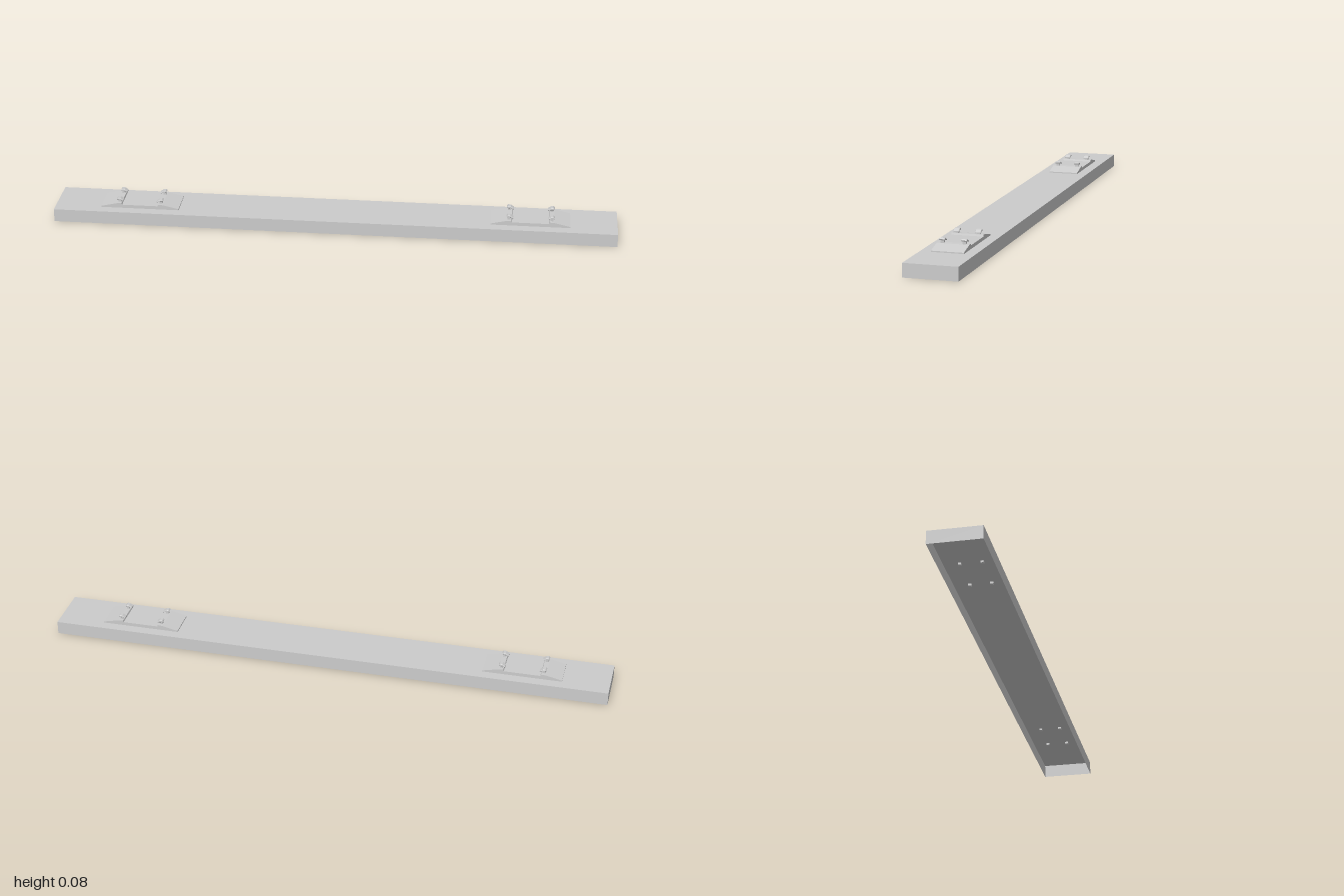
import * as THREE from 'three';

const grey = new THREE.MeshStandardMaterial({ color: 0xcccccc, flatShading: true });
const greyOpen = new THREE.MeshStandardMaterial({ color: 0xcccccc, flatShading: true, side: THREE.DoubleSide });

const TOP = 0.047;

function mesh(name, geometry, material = grey) {
  const m = new THREE.Mesh(geometry, material);
  m.name = name;
  return m;
}

// Extrude an x-y outline to a given width, centred on z
function extrude(points, width, bevel = 0) {
  const shape = new THREE.Shape(points.map(([x, y]) => new THREE.Vector2(x, y)));
  const depth = width - 2 * bevel;
  const g = new THREE.ExtrudeGeometry(shape, {
    depth, bevelEnabled: bevel > 0, bevelThickness: bevel,
    bevelSize: bevel, bevelOffset: -bevel, bevelSegments: 1,
  });
  return g.translate(0, 0, -depth / 2);
}

// Beam shell: a box without its underside
function beamGeometry() {
  const g = new THREE.BoxGeometry(2, TOP, 0.184).translate(0, TOP / 2, 0);
  const index = Array.from(g.index.array);
  index.splice(18, 6);
  g.setIndex(index);
  g.clearGroups();
  return g;
}

// Spike: square shank with pointed tip and a head overhanging towards -x
function makeSpike() {
  const spike = new THREE.Group();
  spike.name = 'spike';
  spike.add(mesh('spikeShank', extrude([
    [-0.005, 0.04], [0, 0.036], [0.005, 0.04], [0.005, 0.074], [-0.005, 0.074],
  ], 0.011)));
  spike.add(mesh('spikeHead', extrude([
    [-0.015, 0.069], [-0.005, 0.072], [0.007, 0.073],
    [0.009, 0.077], [0.005, 0.081], [-0.004, 0.08], [-0.015, 0.073],
  ], 0.02, 0.0015)));
  return spike;
}

// Tie plate: tapered ends, raised shoulders and a sunken seat, with four spikes
function makeFixture() {
  const fixture = new THREE.Group();
  fixture.name = 'fixture';
  fixture.add(mesh('tiePlate', extrude([
    [-0.14, TOP], [0.14, TOP], [0.14, 0.051], [0.083, 0.064], [0.066, 0.065], [0.064, 0.059],
    [-0.064, 0.059], [-0.066, 0.065], [-0.083, 0.064], [-0.14, 0.051],
  ], 0.11)));
  for (const sx of [-1, 1]) {
    for (const sz of [-1, 1]) {
      const spike = makeSpike();
      spike.position.set(sx * 0.075, 0, sz * 0.037);
      if (sx < 0) spike.rotation.y = Math.PI;
      fixture.add(spike);
    }
  }
  return fixture;
}

export function createModel() {
  const model = new THREE.Group();
  model.name = 'sleeper';
  model.add(mesh('beam', beamGeometry(), greyOpen));
  for (const side of [-1, 1]) {
    const fixture = makeFixture();
    fixture.name = side > 0 ? 'leftFixture' : 'rightFixture';
    fixture.position.x = side * 0.695;
    model.add(fixture);
  }
  return model;
}
